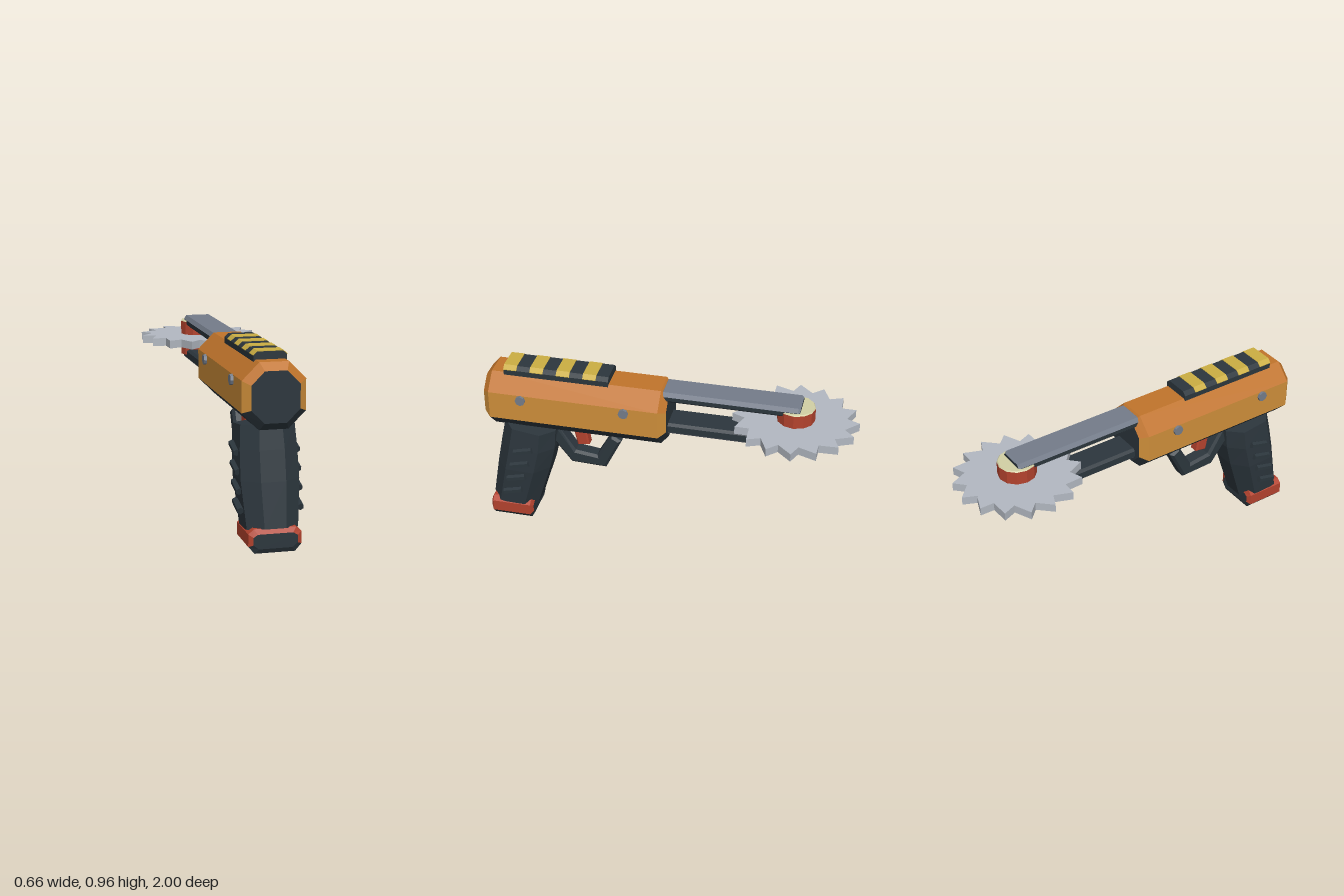
import * as THREE from 'three';

const mat = (name, color) => {
  const m = new THREE.MeshStandardMaterial({ color });
  m.name = name;
  return m;
};

export function createModel() {
  const root = new THREE.Group();
  root.name = 'sawPistol';

  const dark = mat('charcoal', 0x2c363d);
  const orange = mat('burntOrange', 0xc0742b);
  const amber = mat('amber', 0xcf8f3a);
  const red = mat('red', 0xb4432e);
  const yellow = mat('yellow', 0xcbae43);
  const steel = mat('slateSteel', 0x747c8a);
  const silver = mat('bladeSilver', 0xb2b8c1);
  const cream = mat('cream', 0xd2cfa4);

  const add = (name, geometry, material) => {
    const mesh = new THREE.Mesh(geometry, material);
    mesh.name = name;
    root.add(mesh);
    return mesh;
  };

  // Flat-faced skin over matching rings; one material per ring edge plus one for the caps
  function loft(name, rings, edgeMats, capMat) {
    const n = rings[0].length, last = rings.length - 1;
    const pos = [], mats = [...new Set([...edgeMats, capMat])];
    const geo = new THREE.BufferGeometry();
    const tri = (...pts) => pts.forEach((p) => pos.push(...p));
    const group = (m, build) => {
      const start = pos.length / 3;
      build();
      geo.addGroup(start, pos.length / 3 - start, mats.indexOf(m));
    };
    for (let i = 0; i < n; i++) {
      const j = (i + 1) % n;
      group(edgeMats[i], () => {
        for (let k = 0; k < last; k++) {
          const [a, b, c, d] = [rings[k][i], rings[k][j], rings[k + 1][j], rings[k + 1][i]];
          tri(a, b, c);
          tri(a, c, d);
        }
      });
    }
    group(capMat, () => {
      for (let i = 1; i < n - 1; i++) {
        tri(rings[last][0], rings[last][i], rings[last][i + 1]);
        tri(rings[0][0], rings[0][i + 1], rings[0][i]);
      }
    });
    geo.setAttribute('position', new THREE.Float32BufferAttribute(pos, 3));
    geo.computeVertexNormals();
    return add(name, geo, mats);
  }

  // Eight-sided prism along z with tapered ends.
  // Edges run: bottom, low right, right, top right, top, top left, left, low left.
  function prism(name, s, edgeMats, capMat) {
    const { w, flatTop, flatBottom, ys, z, depth, sx, sy } = s;
    const half = [[flatBottom, ys[0]], [w, ys[1]], [w, ys[2]], [flatTop, ys[3]]];
    const profile = [[-flatBottom, ys[0]], ...half, ...half.slice(1).reverse().map(([x, y]) => [-x, y])];
    const mid = (ys[0] + ys[3]) / 2;
    const ring = (zz, a, b) => profile.map(([x, y]) => [x * a, mid + (y - mid) * b, zz]);
    return loft(name, [
      ring(z[0], sx, sy), ring(z[0] + depth, 1, 1),
      ring(z[1] - depth, 1, 1), ring(z[1], sx, sy),
    ], edgeMats, capMat);
  }

  // Main housing
  prism('housing', {
    w: 0.157, flatTop: 0.072, flatBottom: 0.072, ys: [0.595, 0.68, 0.835, 0.92],
    z: [-0.008, 0.985], depth: 0.037, sx: 0.76, sy: 0.77,
  }, [dark, dark, amber, orange, orange, orange, amber, dark], dark);

  // Top rail with wrapped warning stripes
  const railProfile = new THREE.Shape([
    [-0.083, 0.91], [0.083, 0.91], [0.083, 0.94], [0.063, 0.96], [-0.063, 0.96], [-0.083, 0.94],
  ].map((p) => new THREE.Vector2(...p)));
  add('topRail', new THREE.ExtrudeGeometry(railProfile, { depth: 0.569, bevelEnabled: false })
    .translate(0, 0, 0.31), dark);
  const stripeProfile = new THREE.Shape([
    [-0.085, 0.94], [-0.063, 0.959], [0.063, 0.959], [0.085, 0.94],
    [0.085, 0.943], [0.064, 0.963], [-0.064, 0.963], [-0.085, 0.943],
  ].map((p) => new THREE.Vector2(...p)));
  for (let i = 0; i < 4; i++) {
    add('railStripe', new THREE.ExtrudeGeometry(stripeProfile, { depth: 0.072, bevelEnabled: false })
      .translate(0, 0, 0.376 + i * 0.144), yellow);
  }

  // Twin arms holding the blade
  const arm = { w: 0.08, flatTop: 0.066, flatBottom: 0.066, z: [-0.7, 0.03], depth: 0.012, sx: 0.9, sy: 0.75 };
  prism('upperArm', { ...arm, ys: [0.855, 0.868, 0.89, 0.912] },
    [dark, dark, dark, steel, steel, steel, dark, dark], dark);
  prism('lowerArm', { ...arm, ys: [0.662, 0.676, 0.712, 0.725] },
    [steel, steel, dark, dark, dark, dark, dark, steel], dark);

  // Hub with a pale top washer
  const hubZ = -0.67;
  const hub = new THREE.CylinderGeometry(0.1, 0.1, 0.19, 12).toNonIndexed();
  hub.computeVertexNormals();
  add('bladeHub', hub, red).position.set(0, 0.787, hubZ);
  add('hubWasher', new THREE.CylinderGeometry(0.095, 0.1, 0.006, 12), cream).position.set(0, 0.885, hubZ);

  // Saw blade: each tooth is a tip and a valley close behind it
  const teeth = 16, blade = [];
  for (let i = 0; i < teeth; i++) {
    const tip = THREE.MathUtils.degToRad(4 + (i * 360) / teeth);
    for (const [r, a] of [[0.33, tip], [0.265, tip + 0.13]]) {
      blade.push(new THREE.Vector2(r * Math.cos(a), r * Math.sin(a)));
    }
  }
  add('sawBlade', new THREE.ExtrudeGeometry(new THREE.Shape(blade), { depth: 0.044, bevelEnabled: false })
    .rotateX(-Math.PI / 2), silver).position.set(0, 0.765, hubZ);

  // Grip: [rear z, rear y, fore z, fore y, half width, half flat]
  const gripRings = [
    [0.995, 0.12, 0.745, 0.065, 0.128, 0.054],
    [0.955, 0.34, 0.66, 0.33, 0.146, 0.062],
    [0.925, 0.49, 0.628, 0.46, 0.143, 0.062],
    [0.9, 0.61, 0.62, 0.572, 0.135, 0.056],
  ].map(([z0, y0, z1, y1, w, f]) => [
    [-f, 0], [f, 0], [w, 0.22], [w, 0.76], [f, 1], [-f, 1], [-w, 0.76], [-w, 0.22],
  ].map(([x, t]) => [x, y0 + (y1 - y0) * t, z0 + (z1 - z0) * t]));
  loft('grip', gripRings, Array(8).fill(dark), dark);

  // Grip base
  prism('gripBase', {
    w: 0.132, flatTop: 0.105, flatBottom: 0.1, ys: [0, 0.036, 0.098, 0.122],
    z: [0.755, 0.998], depth: 0.014, sx: 0.83, sy: 0.6,
  }, [dark, dark, red, red, red, red, red, dark], dark);

  // Side ribs and housing screws, mirrored
  for (const side of [-1, 1]) {
    for (let i = 0; i < 4; i++) {
      const rib = add('gripRib', new THREE.CylinderGeometry(0.018, 0.018, 0.105, 6), dark);
      rib.geometry = rib.geometry.toNonIndexed();
      rib.geometry.computeVertexNormals();
      rib.rotation.x = -Math.PI / 2 + 0.25;
      rib.position.set(side * 0.15, 0.475 - i * 0.09, 0.78 + i * 0.024);
    }
    for (const z of [0.21, 0.77]) {
      const screw = add('housingScrew', new THREE.CylinderGeometry(0.027, 0.027, 0.03, 8), steel);
      screw.geometry = screw.geometry.toNonIndexed();
      screw.geometry.computeVertexNormals();
      screw.rotation.z = Math.PI / 2;
      screw.position.set(side * 0.157, 0.81, z);
    }
  }

  // Side-profile plates given as [z, y] outlines
  function plate(name, outline, width, bevel, material) {
    const shape = new THREE.Shape(outline.map((p) => new THREE.Vector2(...p)));
    const geo = new THREE.ExtrudeGeometry(shape, {
      depth: width - 2 * bevel, bevelThickness: bevel, bevelSize: bevel, bevelOffset: -bevel, bevelSegments: 1,
    });
    geo.translate(0, 0, bevel - width / 2).rotateY(-Math.PI / 2);
    add(name, geo, material);
  }
  plate('triggerGuard', [
    [0.64, 0.5], [0.54, 0.37], [0.347, 0.363], [0.257, 0.545],
    [0.315, 0.578], [0.395, 0.435], [0.515, 0.45], [0.61, 0.59],
  ], 0.09, 0.014, dark);
  plate('trigger', [[0.525, 0.575], [0.505, 0.48], [0.44, 0.49], [0.455, 0.583]], 0.06, 0.008, red);

  return root;
}
